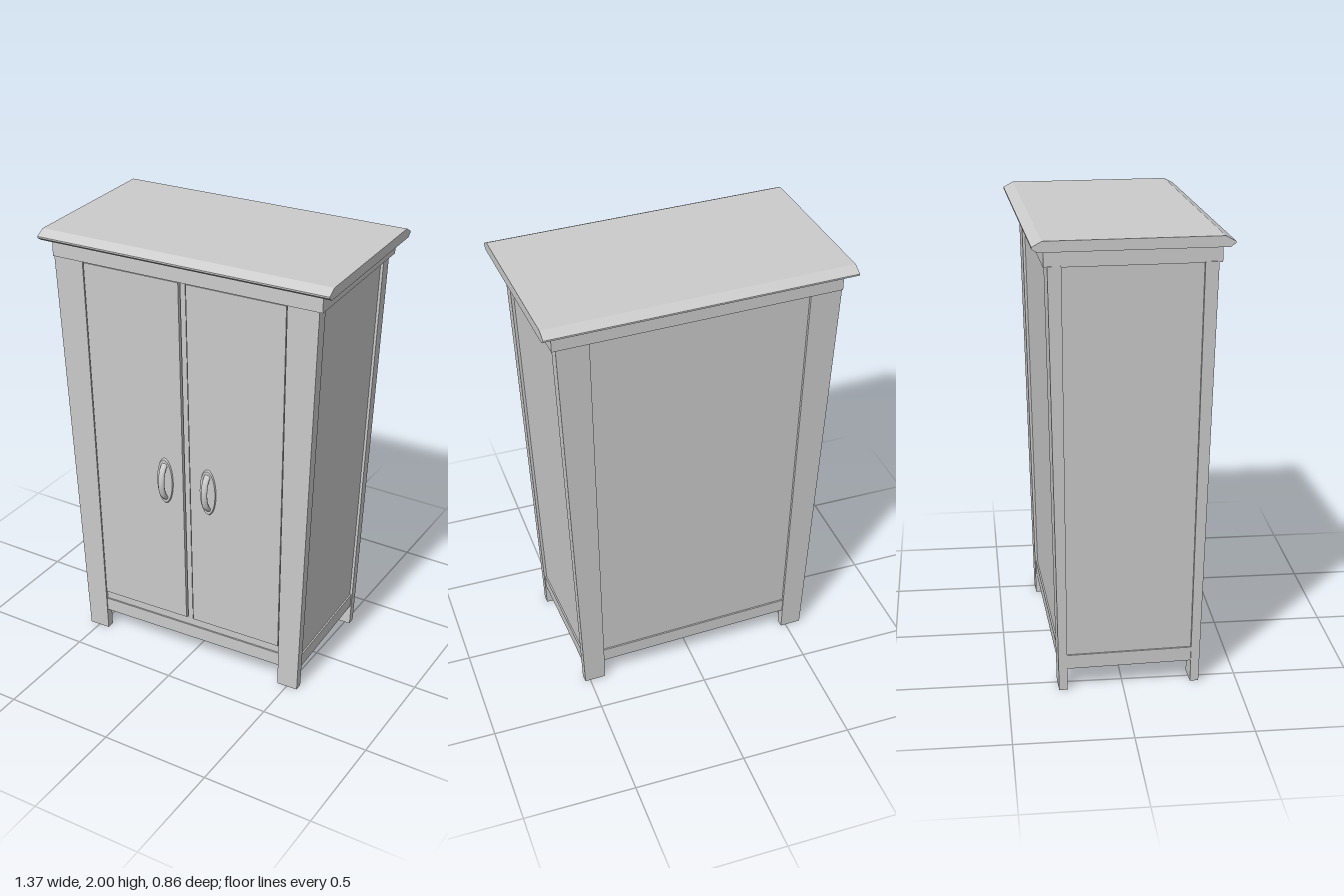
import * as THREE from 'three';

const material = new THREE.MeshStandardMaterial({ color: 0xcccccc, flatShading: true });
const smooth = new THREE.MeshStandardMaterial({ color: 0xcccccc });

// The carcass widens with height; these give its half sizes at height y
const H = 1.89;
const at = (bottom, top) => (y) => bottom + (top - bottom) * (y / H);
const outerX = at(0.549, 0.618);  // outside of the legs
const innerX = at(0.452, 0.478);  // inner edge of the legs
const outerZ = at(0.307, 0.342);  // front and back of the legs
const innerZ = at(0.27, 0.286);   // depth at which the side panels meet the legs

// Box from y0 to y1 whose cross-section [x0, x1, z0, z1] follows the rule
function slab(name, y0, y1, rule) {
  const geometry = new THREE.BoxGeometry(1, 1, 1);
  const p = geometry.attributes.position;
  for (let i = 0; i < p.count; i++) {
    const y = p.getY(i) > 0 ? y1 : y0;
    const [x0, x1, z0, z1] = rule(y);
    p.setXYZ(i, p.getX(i) > 0 ? x1 : x0, y, p.getZ(i) > 0 ? z1 : z0);
  }
  geometry.computeVertexNormals();
  const mesh = new THREE.Mesh(geometry, material);
  mesh.name = name;
  return mesh;
}

// Order a mirrored pair of limits
const span = (a, b) => [Math.min(a, b), Math.max(a, b)];

function createHandle(name) {
  const handle = new THREE.Group();
  handle.name = name;
  // Oval back plate
  const plateGeometry = new THREE.CylinderGeometry(0.94, 1, 0.008, 32);
  plateGeometry.rotateX(Math.PI / 2);
  plateGeometry.scale(0.04, 0.115, 1);
  const plate = new THREE.Mesh(plateGeometry, material);
  plate.name = 'handlePlate';
  plate.position.z = 0.002;
  // Bowed grip
  const curve = new THREE.CatmullRomCurve3([
    new THREE.Vector3(0, -0.085, 0),
    new THREE.Vector3(0, -0.06, 0.022),
    new THREE.Vector3(0, 0, 0.035),
    new THREE.Vector3(0, 0.06, 0.022),
    new THREE.Vector3(0, 0.085, 0),
  ]);
  const gripGeometry = new THREE.TubeGeometry(curve, 20, 0.011, 10);
  gripGeometry.scale(1.35, 1, 1);
  const grip = new THREE.Mesh(gripGeometry, smooth);
  grip.name = 'handleGrip';
  handle.add(plate, grip);
  return handle;
}

export function createModel() {
  const model = new THREE.Group();
  model.name = 'wardrobe';
  const carcass = new THREE.Group();
  carcass.name = 'carcass';
  carcass.position.set(-0.012, 0, 0.004);
  model.add(carcass);

  // Inset core forming the side, back and bottom panels
  carcass.add(slab('panels', 0.11, H, (y) =>
    [-outerX(y) + 0.012, outerX(y) - 0.012, -outerZ(y) + 0.012, outerZ(y) - 0.02]));

  // Four tapered plank legs
  for (const sx of [-1, 1]) {
    for (const sz of [-1, 1]) {
      const name = (sz > 0 ? 'front' : 'back') + (sx > 0 ? 'Left' : 'Right') + 'Leg';
      carcass.add(slab(name, 0, H, (y) => [
        ...span(sx * innerX(y), sx * outerX(y)),
        ...span(sz * innerZ(y), sz * outerZ(y)),
      ]));
    }
  }

  // Bottom rails on all four sides
  carcass.add(slab('frontRail', 0.1, 0.165, (y) =>
    [-innerX(y), innerX(y), outerZ(y) - 0.04, outerZ(y) - 0.005]));
  carcass.add(slab('frontSill', 0.165, 0.203, (y) =>
    [-innerX(y), innerX(y), outerZ(y) - 0.04, outerZ(y) - 0.012]));
  carcass.add(slab('backRail', 0.1, 0.165, (y) =>
    [-innerX(y), innerX(y), -outerZ(y) + 0.005, -outerZ(y) + 0.04]));
  for (const s of [-1, 1]) {
    carcass.add(slab(s > 0 ? 'leftRail' : 'rightRail', 0.1, 0.165, (y) => [
      ...span(s * (outerX(y) - 0.04), s * (outerX(y) - 0.005)),
      -innerZ(y), innerZ(y),
    ]));
  }

  // Doors with their handles, and the recessed strip between them
  for (const s of [-1, 1]) {
    const side = s > 0 ? 'left' : 'right';
    carcass.add(slab(side + 'Door', 0.208, 1.875, (y) => [
      ...span(s * 0.018, s * (innerX(y) - 0.004)),
      outerZ(y) - 0.03, outerZ(y) - 0.001,
    ]));
    const handle = createHandle(side + 'Handle');
    handle.position.set(s * 0.107, 0.915, outerZ(0.915));
    handle.rotation.x = Math.atan((outerZ(H) - outerZ(0)) / H);
    carcass.add(handle);
  }
  carcass.add(slab('centreStrip', 0.203, H, (y) =>
    [-0.012, 0.012, outerZ(y) - 0.03, outerZ(y) - 0.008]));

  // Cornice under the top
  model.add(slab('cornice', 1.885, 1.956, () => [-0.626, 0.626, -0.353, 0.361]));

  // Top board with bevelled front and back edges
  const profile = new THREE.Shape([
    [-0.38, 1.955], [0.38, 1.955], [0.402, 1.97], [0.402, 1.977],
    [0.36, 2], [-0.36, 2], [-0.402, 1.977], [-0.402, 1.97],
  ].map(([z, y]) => new THREE.Vector2(z, y)));
  const topGeometry = new THREE.ExtrudeGeometry(profile, { depth: 1.341, bevelEnabled: false });
  topGeometry.translate(0, 0, -1.341 / 2);
  topGeometry.rotateY(Math.PI / 2);
  const top = new THREE.Mesh(topGeometry, material);
  top.name = 'topBoard';
  model.add(top);

  // The whole piece stands slightly turned
  model.rotation.y = 0.042;
  const root = new THREE.Group();
  root.add(model);
  return root;
}
